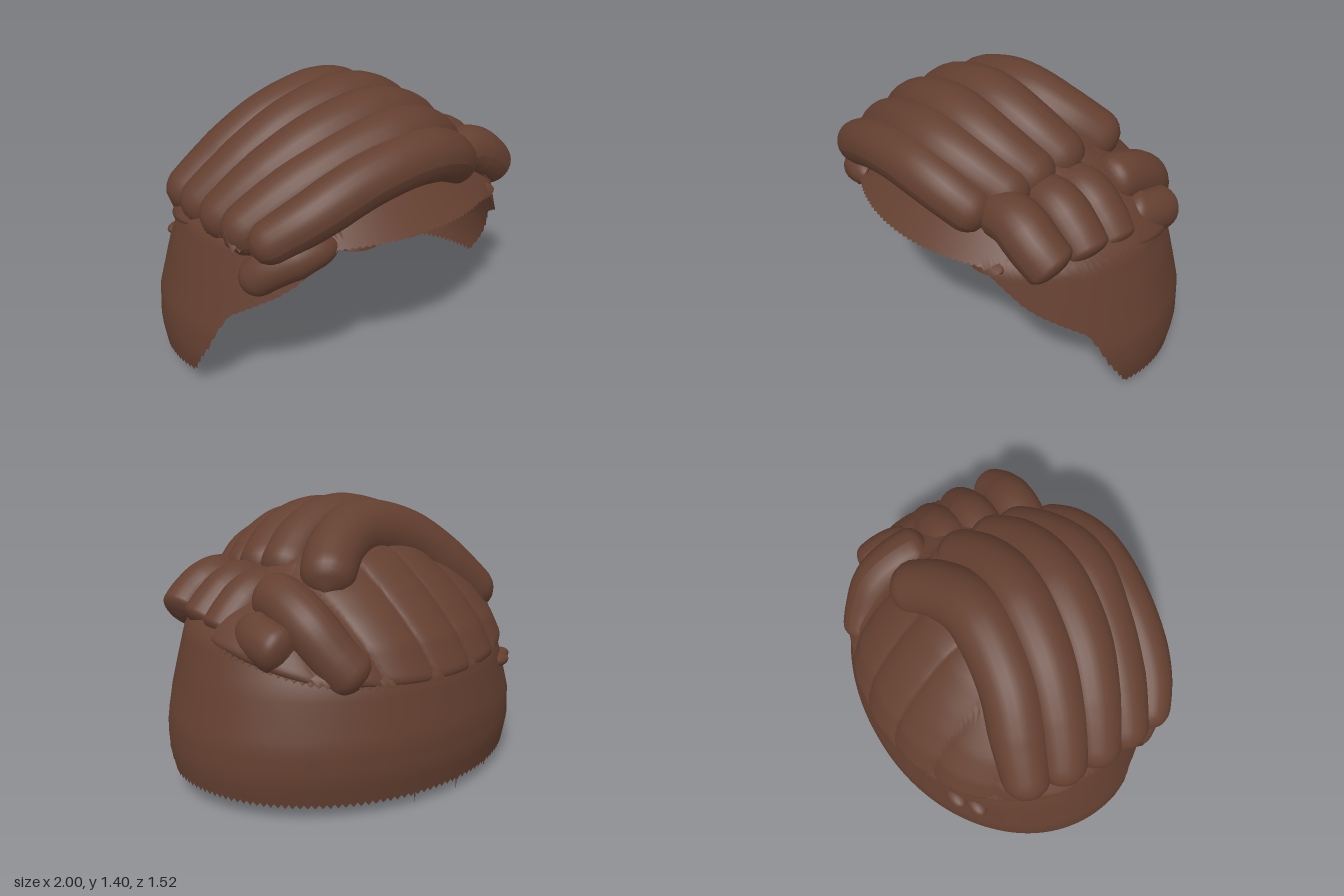
import * as THREE from 'three';

const V = (p) => new THREE.Vector3(...p);

// Linear interpolation in a short table of rows [key, value, value, ...]
function lookup(table, k) {
  let i = 0;
  while (i < table.length - 2 && k > table[i + 1][0]) i++;
  const a = table[i], b = table[i + 1];
  const t = THREE.MathUtils.clamp((k - a[0]) / (b[0] - a[0]), 0, 1);
  return a.slice(1).map((v, j) => v + (b[j + 1] - v) * t);
}

// Head outline by height: [y, half width, back z, front z]
const OUTLINE = [
  [0, 0.97, -0.72, 0.8], [0.2, 1, -0.76, 0.84], [0.35, 0.99, -0.76, 0.84],
  [0.6, 0.92, -0.71, 0.8], [0.78, 0.86, -0.62, 0.765], [0.9, 0.74, -0.52, 0.65],
  [1.0, 0.6, -0.42, 0.55], [1.12, 0.42, -0.28, 0.42], [1.22, 0.2, -0.08, 0.26],
  [1.25, 0, 0.1, 0.1],
];
// Lower hair edge by depth: [z, y]
const HAIRLINE = [
  [-0.75, 0.05], [0.15, 0.09], [0.25, 0.26], [0.33, 0.45], [0.45, 0.53],
  [0.51, 0.57], [0.56, 0.62], [0.67, 0.78], [0.85, 0.78],
];
// Edge of the braided cap by depth: [z, y]
const CAP_EDGE = [[-0.72, 0.62], [-0.5, 0.66], [-0.3, 0.73], [0, 0.81], [0.5, 0.84], [0.8, 0.84]];

function headPoint(angle, y, out = 0) {
  const [rx, zb, zf] = lookup(OUTLINE, y);
  return [(rx + out) * Math.sin(angle), y, (zb + zf) / 2 + ((zf - zb) / 2 + out) * Math.cos(angle)];
}
const midZ = (angle) => 0.045 + 0.76 * Math.cos(angle);

// Grid surface from a function of (column, row)
function sheet(cols, rows, fn) {
  const pos = [], idx = [];
  for (let j = 0; j <= rows; j++)
    for (let i = 0; i <= cols; i++) {
      pos.push(...fn(i, j));
      if (i < cols && j < rows) {
        const a = j * (cols + 1) + i, b = a + cols + 1;
        idx.push(a, a + 1, b, a + 1, b + 1, b);
      }
    }
  const g = new THREE.BufferGeometry();
  g.setAttribute('position', new THREE.Float32BufferAttribute(pos, 3));
  g.setIndex(idx);
  g.computeVertexNormals();
  return g;
}

// Soft roll along a path; radii are [t, r] rows, ends are rounded, flat scales the height
function rollGeometry(points, radii, round = 0.12, flat = 1) {
  const curve = new THREE.CatmullRomCurve3(points.map(V));
  const seg = 56, sides = 24;
  const g = new THREE.TubeGeometry(curve, seg, 1, sides, false);
  const p = g.attributes.position, v = new THREE.Vector3();
  for (let i = 0; i <= seg; i++) {
    const t = i / seg, c = curve.getPointAt(t);
    const e = Math.min(1, Math.min(t, 1 - t) / round);
    const r = lookup(radii, t)[0] * Math.sqrt(Math.max(0, 1 - (1 - e) ** 2));
    for (let j = 0; j <= sides; j++) {
      const k = i * (sides + 1) + j;
      v.fromBufferAttribute(p, k).sub(c).multiplyScalar(r);
      v.y *= flat;
      v.add(c);
      p.setXYZ(k, v.x, v.y, v.z);
    }
  }
  g.computeVertexNormals();
  return g;
}

export function createModel() {
  const model = new THREE.Group();
  model.name = 'braidedHair';
  const hair = new THREE.MeshStandardMaterial({ color: 0x633f30, side: THREE.DoubleSide });
  hair.name = 'brownHair';
  const add = (name, geometry, parent = model) => {
    const m = new THREE.Mesh(geometry, hair);
    m.name = name;
    parent.add(m);
    return m;
  };
  const group = (name) => {
    const g = new THREE.Group();
    g.name = name;
    model.add(g);
    return g;
  };

  // Open shell over the head, with a ragged lower edge
  const cols = 320, rows = 36;
  add('scalpShell', sheet(cols, rows, (i, j) => {
    const a = (i / cols) * Math.PI * 2;
    const z = midZ(a), t = j / rows;
    const jag = j === 0 && i % 2 ? 0.022 : 0;
    const low = lookup(HAIRLINE, z)[0] + jag * (z < 0.3 ? 1 : 0.3);
    return headPoint(a, low + (1.25 - low) * (1 - (1 - t) ** 1.5));
  }));

  // Ragged flared rim where the braids meet the shell
  add('capRim', sheet(220, 2, (i, j) => {
    const a = 0.75 + (i / 220) * (Math.PI * 2 - 1.5);
    const y = lookup(CAP_EDGE, midZ(a))[0];
    const jag = j === 0 && i % 2 ? 0.015 : 0;
    return headPoint(a, y + [-0.03, 0.01, 0.07][j] + jag, [0.015, 0.025, -0.01][j]);
  }));

  // Long rolls across the top, front to back
  const top = group('topBraids');
  const frontRadii = [[0, 0.1], [0.3, 0.125], [0.7, 0.135], [1, 0.115]];
  const topRadii = [[0, 0.115], [0.25, 0.15], [0.6, 0.165], [1, 0.13]];
  [
    [[-0.82, 0.79, 0.43], [-0.6, 0.93, 0.55], [-0.3, 1.06, 0.61], [0, 1.1, 0.625], [0.2, 1.05, 0.6], [0.4, 0.92, 0.51]],
    [[-0.85, 0.78, 0.28], [-0.6, 0.95, 0.37], [-0.3, 1.09, 0.45], [0, 1.15, 0.49], [0.2, 1.1, 0.45], [0.46, 0.95, 0.33]],
    [[-0.85, 0.78, 0.11], [-0.61, 0.98, 0.21], [-0.32, 1.15, 0.3], [0, 1.205, 0.33], [0.22, 1.14, 0.3], [0.46, 0.98, 0.18]],
    [[-0.84, 0.78, -0.08], [-0.61, 0.98, 0.02], [-0.32, 1.17, 0.1], [0, 1.235, 0.13], [0.22, 1.17, 0.1], [0.46, 1.0, 0]],
    [[-0.81, 0.77, -0.26], [-0.6, 0.95, -0.19], [-0.32, 1.15, -0.1], [0, 1.22, -0.075], [0.22, 1.15, -0.15], [0.42, 1.0, -0.31]],
  ].forEach((path, i) => add('topBraid' + (i + 1), rollGeometry(path, i ? topRadii : frontRadii, 0.08), top));

  // Back panel of slanting rolls with shallow seams between them
  add('backBraids', sheet(180, 30, (i, j) => {
    const a = Math.PI + (i / 180 - 0.5) * 2.9;
    const t = j / 30;
    const low = lookup(CAP_EDGE, midZ(a))[0] - 0.02;
    const y = low + (1.2 - low) * t ** 1.3;
    const u = (headPoint(a, y)[0] + 0.13 * (1 - t) + 0.06) / 0.26;
    const bulge = 0.01 + 0.03 * Math.sqrt(Math.abs(Math.sin(Math.PI * u)));
    return headPoint(a, y, bulge * Math.sqrt(Math.min(1, t / 0.12)));
  }));

  // Short rolls down the left side
  const side = group('sideBraids');
  const sideRadii = [[0, 0.12], [0.5, 0.13], [1, 0.12]];
  [
    [[0.37, 0.95, 0.45], [0.53, 0.96, 0.455], [0.66, 0.89, 0.455], [0.77, 0.8, 0.43]],
    [[0.41, 0.96, 0.23], [0.55, 0.96, 0.23], [0.67, 0.88, 0.23], [0.77, 0.78, 0.23]],
    [[0.42, 0.96, 0.05], [0.56, 0.95, 0.05], [0.67, 0.87, 0.05], [0.77, 0.76, 0.05]],
  ].forEach((path, i) => add('sideBraid' + (i + 1), rollGeometry(path, sideRadii, 0.12), side));
  add('rearSideBraid', rollGeometry([
    [0.56, 0.96, -0.05], [0.57, 0.95, -0.2], [0.56, 0.87, -0.36], [0.5, 0.73, -0.47], [0.41, 0.6, -0.56],
  ], [[0, 0.13], [1, 0.125]], 0.13), side);
  add('sideKnot', rollGeometry([
    [0.65, 0.84, -0.1], [0.7, 0.81, -0.18], [0.71, 0.79, -0.28], [0.69, 0.76, -0.39],
  ], [[0, 0.12], [1, 0.115]], 0.25), side);

  // Tuft curling off the right temple
  add('templeTuft', rollGeometry([
    [-0.46, 0.79, 0.6], [-0.62, 0.76, 0.54], [-0.74, 0.69, 0.45], [-0.8, 0.59, 0.35],
  ], [[0, 0.06], [0.4, 0.1], [1, 0.09]], 0.2));
  // Ragged flap above the tuft
  add('templeFlap', sheet(36, 1, (i, j) => {
    const t = i / 36;
    return [-0.88 + 0.43 * t, (j ? 0.89 : 0.81) - 0.02 * t - (i % 2) * 0.025, 0.36 + 0.28 * t - j * 0.05];
  }));

  // Pointed locks sweeping far back under the front hairline
  const fringe = group('fringe');
  const lockRadii = [[0, 0.13], [0.5, 0.135], [0.72, 0.09], [1, 0.004]];
  [[-0.58, -0.57], [-0.33, -0.36], [-0.08, -0.1], [0.19, 0.18], [0.45, 0.43]].forEach(([xt, xb], i) => {
    const bend = 0.35 * xt * xt;
    add('fringeLock' + (i + 1), rollGeometry([
      [xt, 0.79, 0.69 - bend], [xt, 0.71, 0.46 - bend], [(xt + xb) / 2, 0.57, 0.18 - bend * 0.7], [xb, 0.37, -0.08],
    ], lockRadii, 0.02, 0.25), fringe);
  });
  for (const s of [-1, 1])
    add(s > 0 ? 'leftTempleLock' : 'rightTempleLock', rollGeometry([
      [0.62 * s, 0.77, 0.45], [0.71 * s, 0.61, 0.22], [0.79 * s, 0.42, -0.05],
    ], [[0, 0.07], [0.5, 0.07], [1, 0.004]], 0.02, 0.5), fringe);

  // Small loose knot on the right of the back
  [[-0.66, -0.5], [-0.57, -0.57]].forEach(([x, z], i) => {
    const knot = add('backKnot' + (i + 1), new THREE.SphereGeometry(0.07, 20, 12));
    knot.scale.set(1.1, 0.5, 0.7);
    knot.position.set(x, 0.53, z + 0.02);
  });

  // Stray wisps under the nape
  [-0.08, 0.2, -0.34].forEach((x, i) => {
    const wisp = add('napeWisp' + (i + 1), new THREE.ConeGeometry(0.006, 0.07, 5));
    wisp.rotation.x = Math.PI;
    wisp.position.set(x, 0.035 + i * 0.01, -0.72 * Math.sqrt(1 - x * x));
  });

  return model;
}
